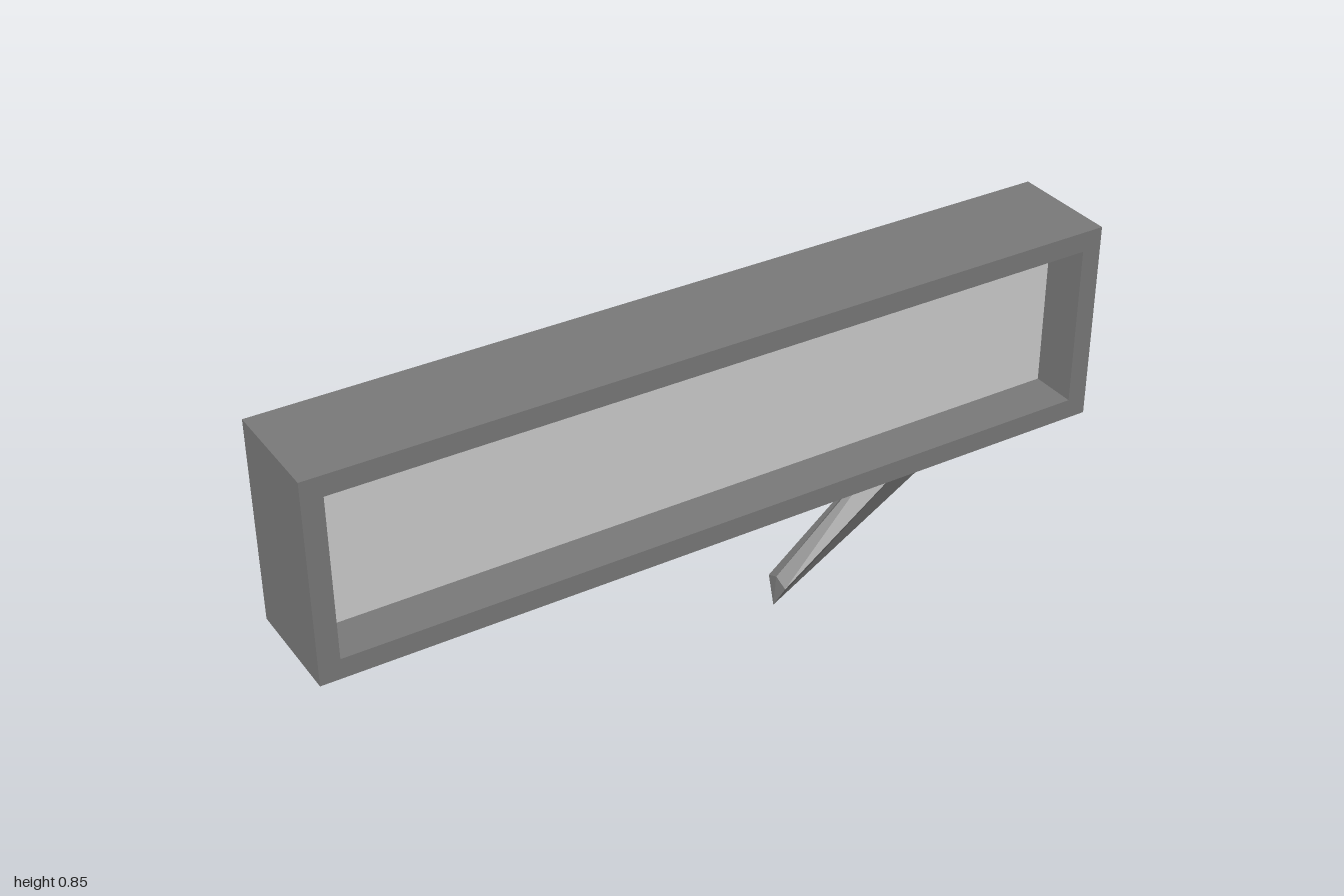
import * as THREE from 'three';

const caseMaterial = new THREE.MeshStandardMaterial({ color: 0x787878, flatShading: true });
const panelMaterial = new THREE.MeshStandardMaterial({ color: 0xcccccc, flatShading: true });

const HALF_DEPTH = 0.136;
const RECESS_Z = 0.018; // floor of the front recess
const MID_Y = 0.6;

function rectangle(PathType, halfWidth, halfHeight) {
  return new PathType([
    new THREE.Vector2(-halfWidth, -halfHeight),
    new THREE.Vector2(halfWidth, -halfHeight),
    new THREE.Vector2(halfWidth, halfHeight),
    new THREE.Vector2(-halfWidth, halfHeight),
  ]);
}

// Tapered tail from two kite-shaped sections, closed at the tip
function tailGeometry(tip, base) {
  const positions = [];
  const triangle = (...corners) => corners.forEach((c) => positions.push(...c));
  for (let i = 0; i < 4; i++) {
    const j = (i + 1) % 4;
    triangle(tip[i], base[i], base[j]);
    triangle(tip[i], base[j], tip[j]);
  }
  triangle(tip[0], tip[1], tip[2]);
  triangle(tip[0], tip[2], tip[3]);
  const geometry = new THREE.BufferGeometry();
  geometry.setAttribute('position', new THREE.Float32BufferAttribute(positions, 3));
  geometry.computeVertexNormals();
  return geometry;
}

export function createModel() {
  const group = new THREE.Group();
  const add = (name, geometry, material, y = 0, z = 0) => {
    const mesh = new THREE.Mesh(geometry, material);
    mesh.name = name;
    mesh.position.set(0, y, z);
    group.add(mesh);
  };

  // Rim around the recess
  const rim = rectangle(THREE.Shape, 1, 0.25);
  rim.holes.push(rectangle(THREE.Path, 0.95, 0.2));
  const rimGeometry = new THREE.ExtrudeGeometry(rim, { depth: HALF_DEPTH - RECESS_Z, bevelEnabled: false });
  add('frontRim', rimGeometry, caseMaterial, MID_Y, RECESS_Z);

  // Solid back half of the case
  const backDepth = RECESS_Z + HALF_DEPTH;
  add('backCase', new THREE.BoxGeometry(2, 0.5, backDepth), caseMaterial, MID_Y, RECESS_Z - backDepth / 2);

  // Light panel on the recess floor
  add('panel', new THREE.PlaneGeometry(1.9, 0.4), panelMaterial, MID_Y, RECESS_Z + 0.001);

  // Slanted tail: bottom ridge, front edge, top ridge, back edge
  const tip = [[0.205, 0, 0], [0.214, 0.063, 0.035], [0.212, 0.08, 0], [0.214, 0.063, -0.035]];
  const base = [[0.8, 0.35, 0], [0.59, 0.35, 0.046], [0.525, 0.35, 0], [0.59, 0.35, -0.046]];
  add('tail', tailGeometry(tip, base), caseMaterial);

  return group;
}
